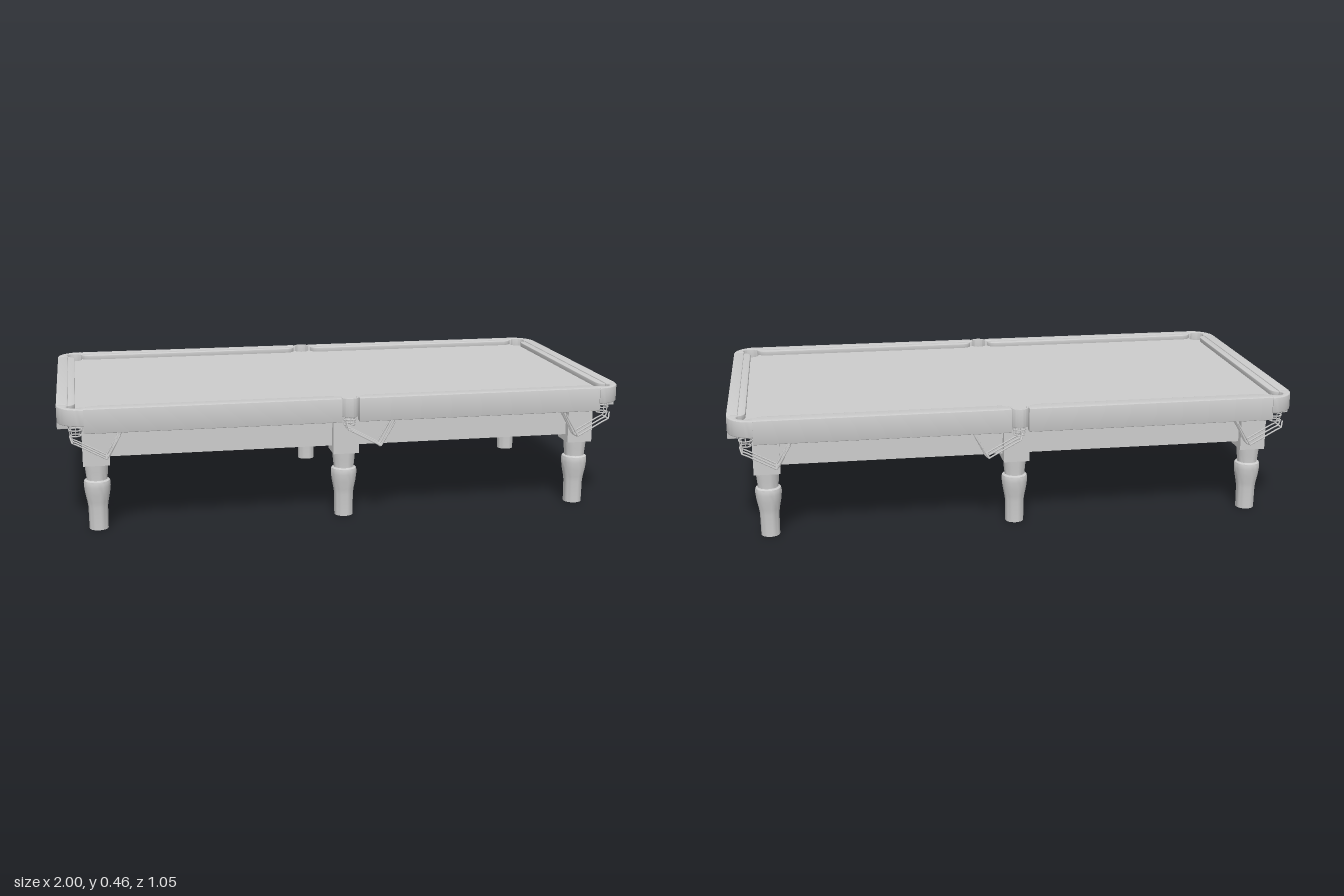
import * as THREE from 'three';
import { toCreasedNormals } from 'three/addons/utils/BufferGeometryUtils.js';

const mat = new THREE.MeshStandardMaterial({ color: 0xcccccc });
const TOP = 0.455, BED = 0.435, RAIL_BOTTOM = 0.37;
const CORNER = [0.938, 0.466], MIDDLE = [0, 0.492];
const SIDES = [1, -1];

// Points [x, z] on an arc, angles in degrees
function arc(cx, cz, r, from, to, steps = 14) {
  return Array.from({ length: steps + 1 }, (_, i) => {
    const a = THREE.MathUtils.degToRad(from + (to - from) * i / steps);
    return [cx + r * Math.cos(a), cz + r * Math.sin(a)];
  });
}

const flip = (pts, sx, sz) => pts.map(([x, z]) => [x * sx, z * sz]);

// Plan outline raised between two heights, with an optional rounded edge
function slab(pts, y0, y1, bevel = 0) {
  const shape = new THREE.Shape(pts.map(([x, z]) => new THREE.Vector2(x, z)));
  const geo = new THREE.ExtrudeGeometry(shape, {
    depth: y1 - y0 - 2 * bevel, bevelEnabled: bevel > 0, bevelSize: bevel,
    bevelThickness: bevel, bevelOffset: -bevel, bevelSegments: 3,
  });
  geo.rotateX(Math.PI / 2).translate(0, y1 - bevel, 0);
  return toCreasedNormals(geo, 0.6);
}

function tube(points, r, closed = false) {
  const path = new THREE.CurvePath();
  const v = points.map(p => new THREE.Vector3(...p));
  for (let i = 0; i < v.length - 1; i++) path.add(new THREE.LineCurve3(v[i], v[i + 1]));
  return new THREE.TubeGeometry(path, (v.length - 1) * 6, r, 6, closed);
}

export function createModel() {
  const root = new THREE.Group();
  const add = (name, geo, parent = root) => {
    const mesh = new THREE.Mesh(geo, mat);
    mesh.name = name;
    parent.add(mesh);
    return mesh;
  };
  const box = (name, x0, x1, y0, y1, z0, z1, parent) =>
    add(name, new THREE.BoxGeometry(x1 - x0, y1 - y0, z1 - z0)
      .translate((x0 + x1) / 2, (y0 + y1) / 2, (z0 + z1) / 2), parent);

  // Playing bed, notched at the six pockets
  const cornerNotch = arc(...CORNER, 0.033, -48, -215);
  const half = [...cornerNotch, ...arc(...MIDDLE, 0.027, -15, -165),
    ...flip(cornerNotch, -1, 1).reverse()];
  add('bed', slab([...half, ...flip(half, -1, -1)], RAIL_BOTTOM, BED));

  // Apron under the bed
  box('apron', -0.895, 0.895, 0.262, RAIL_BOTTOM, -0.415, 0.415);

  // Rails and cushions
  const sideCushion = [[0.035, 0.485], [0.04, 0.472], [0.05, 0.461], [0.065, 0.456],
    [0.875, 0.456], [0.892, 0.461], [0.903, 0.471], [0.911, 0.485]];
  const endCushion = [[0.962, 0.441], [0.95, 0.435], [0.941, 0.426], [0.936, 0.41],
    [0.936, -0.41], [0.941, -0.426], [0.95, -0.435], [0.962, -0.441]];
  for (const sx of SIDES) {
    const end = [[0.962, -0.435], [1, -0.435], [1, 0.435], [0.962, 0.435]];
    add('endRail', slab(flip(end, sx, 1), RAIL_BOTTOM, TOP, 0.002));
    add('endCushion', slab(flip(endCushion, sx, 1), BED - 0.002, TOP - 0.003, 0.002));
    for (const sz of SIDES) {
      const side = [[0.031, 0.484], [0.912, 0.484], [0.912, 0.519], [0.031, 0.519]];
      add('sideRail', slab(flip(side, sx, sz), RAIL_BOTTOM, TOP, 0.002));
      add('sideCushion', slab(flip(sideCushion, sx, sz), BED - 0.002, TOP - 0.003, 0.002));
    }
  }

  // Pocket caps
  const cornerCap = [...arc(0.91, 0.433, 0.09, 90, 0),
    [0.961, 0.433], ...arc(...CORNER, 0.027, -35, 145), [0.91, 0.484]];
  const middleCap = [...arc(0, 0.494, 0.032, -15, 195, 20), ...arc(0, 0.494, 0.026, 195, -15, 20)];

  // Net cup of wires hanging under a pocket
  function netCup(x, z) {
    const net = new THREE.Group();
    net.name = 'pocketNet';
    for (const [y, r] of [[0.395, 0.027], [0.376, 0.023], [0.356, 0.018]]) {
      add('netRing', new THREE.TorusGeometry(r, 0.0025, 6, 20).rotateX(Math.PI / 2)
        .translate(0, y, 0), net);
    }
    for (let i = 0; i < 8; i++) {
      const c = Math.cos(i * Math.PI / 4), s = Math.sin(i * Math.PI / 4);
      add('netCord', tube([[c * 0.027, 0.42, s * 0.027], [c * 0.027, 0.395, s * 0.027],
        [c * 0.018, 0.356, s * 0.018]], 0.0015), net);
    }
    net.position.set(x, 0, z);
    root.add(net);
  }

  // Ball return: sloping rods, end stop and hanging strap; dir is its way along x
  function ballReturn(x, z, dir) {
    const g = new THREE.Group();
    g.name = 'ballReturn';
    const px = d => d * dir;
    for (const dz of [-0.029, 0, 0.029]) {
      add('returnRod', tube([[px(-0.015), 0.36, dz * 0.6], [px(-0.008), 0.338, dz],
        [px(0.01), 0.33, dz], [px(0.105), 0.278, dz]], 0.0028), g);
    }
    for (const [d, y] of [[-0.008, 0.338], [0.105, 0.278]]) {
      add('crossBar', tube([[px(d), y, -0.031], [px(d), y, 0.031]], 0.003), g);
    }
    for (const dz of [-0.01, 0.01]) {
      add('hangerStrap', tube([[px(0.1), 0.274, dz], [px(0.112), 0.28, dz],
        [px(0.158), RAIL_BOTTOM, dz]], 0.004), g);
    }
    for (const dz of [-0.029, 0.029]) {
      add('stopRod', tube([[px(0.105), 0.278, dz], [px(0.153), 0.36, dz]], 0.0028), g);
    }
    g.position.set(x, 0, z);
    root.add(g);
  }

  // Turned leg profile, foot to block
  const profile = [[0, 0], [0.033, 0], [0.034, 0.08], [0.037, 0.1], [0.043, 0.13], [0.046, 0.155],
    [0.046, 0.168], [0.044, 0.175], [0.036, 0.179], [0.036, 0.183], [0.039, 0.21], [0.041, 0.238]];
  const legGeo = toCreasedNormals(new THREE.LatheGeometry(
    profile.map(p => new THREE.Vector2(...p)), 28), 0.7);

  for (const sz of SIDES) {
    for (const sx of [-1, 0, 1]) {
      const leg = new THREE.Group();
      leg.name = 'leg';
      add('turnedLeg', legGeo, leg);
      box('legBlock', -0.046, 0.046, 0.236, RAIL_BOTTOM, -0.047, 0.047, leg);
      leg.position.set(sx * 0.873, 0, sz * 0.393);
      root.add(leg);

      if (sx) {
        add('cornerPocketCap', slab(flip(cornerCap, sx, sz), 0.396, TOP, 0.003));
        netCup(sx * CORNER[0], sz * 0.472);
        ballReturn(sx * 0.943, sz * 0.48, -sx);
      } else {
        add('middlePocketCap', slab(flip(middleCap, 1, sz), 0.388, TOP, 0.001));
        netCup(0, sz * MIDDLE[1]);
        ballReturn(0.005, sz * 0.48, 1);
      }
    }
  }
  return root;
}
